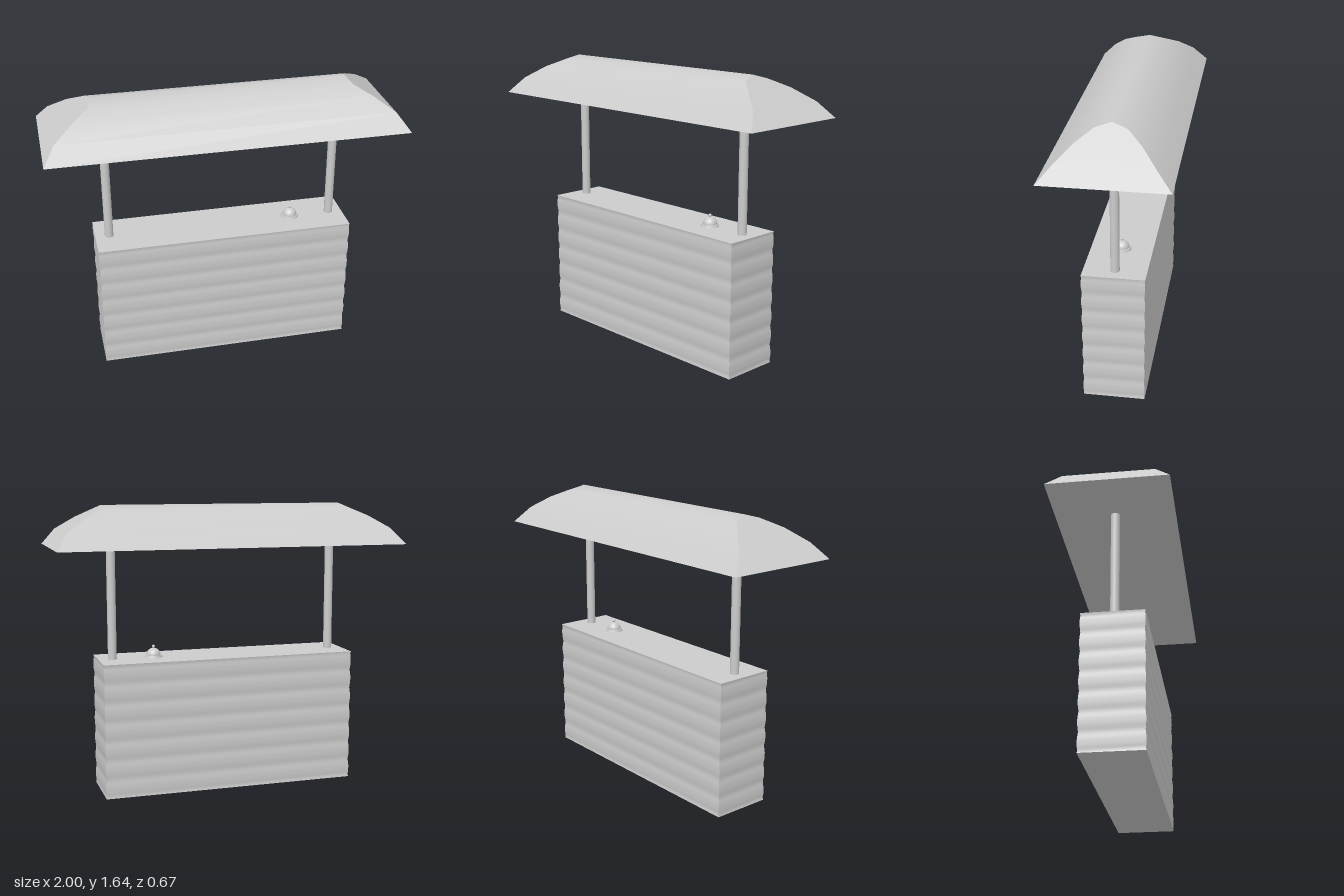
import * as THREE from 'three';

const grey = new THREE.MeshStandardMaterial({ color: 0xcccccc });

function add(group, name, geometry, x = 0, y = 0, z = 0) {
  const mesh = new THREE.Mesh(geometry, grey);
  mesh.name = name;
  mesh.position.set(x, y, z);
  group.add(mesh);
}

// Box whose sides have shallow, evenly spaced horizontal grooves
function counterGeometry(w, h, d, planks, depth) {
  const geo = new THREE.BoxGeometry(w, h, d, 1, planks * 8, 1);
  const p = geo.attributes.position;
  for (let i = 0; i < p.count; i++) {
    const t = (p.getY(i) / h + 0.5) * planks;
    const atEnd = t < 0.01 || t > planks - 0.01;
    const inset = atEnd ? 0 : depth * Math.pow(Math.abs(Math.cos(t * Math.PI)), 4);
    p.setX(i, p.getX(i) - Math.sign(p.getX(i)) * inset);
    p.setZ(i, p.getZ(i) - Math.sign(p.getZ(i)) * inset);
  }
  geo.computeVertexNormals();
  return geo;
}

function surface(points, index, normal) {
  const geo = new THREE.BufferGeometry();
  geo.setAttribute('position', new THREE.Float32BufferAttribute(points.flat(), 3));
  geo.setIndex(index);
  if (normal) {
    geo.setAttribute('normal', new THREE.Float32BufferAttribute(points.flatMap(() => normal), 3));
  } else geo.computeVertexNormals();
  return geo;
}

function addRoof(group) {
  // Half outline from eave to ridge: half-length x, height y, half-depth z
  const half = [[1, 1.41, 0.333], [0.935, 1.5, 0.25], [0.83, 1.57, 0.167], [0.735, 1.617, 0.083], [0.71, 1.64, 0]];
  const outline = [...half, ...half.slice(0, -1).reverse().map(([x, y, z]) => [x, y, -z])];
  const n = outline.length;

  // Curved cover, front eave over the ridge to the back eave
  const points = outline.flatMap(([x, y, z]) => [[-x, y, z], [x, y, z]]);
  const index = [];
  for (let i = 0; i < n - 1; i++) {
    const a = i * 2;
    index.push(a, a + 1, a + 3, a, a + 3, a + 2);
  }
  add(group, 'roofCover', surface(points, index));

  // Sloping ends: strips across the depth, closed by three triangles at the ridge
  const tri = [0, 8, 7, 0, 7, 1, 1, 7, 6, 1, 6, 2, 2, 6, 4, 2, 4, 3, 4, 6, 5];
  for (const side of [1, -1]) {
    const pts = outline.map(([x, y, z]) => [side * x, y, z]);
    const idx = side > 0 ? tri : [...tri].reverse();
    add(group, side > 0 ? 'roofEndLeft' : 'roofEndRight', surface(pts, idx, [side * 0.62, 0.785, 0]));
  }

  // Flat underside
  const under = new THREE.PlaneGeometry(2, 0.666).rotateX(Math.PI / 2);
  add(group, 'roofUnderside', under, 0, 1.41, 0);
}

// Service bell: base ring, dome and push button
function addBell(group, x, y) {
  const bell = new THREE.Group();
  bell.name = 'bell';
  bell.position.set(x, y, 0);
  add(bell, 'bellBase', new THREE.CylinderGeometry(0.048, 0.052, 0.012, 32), 0, 0.006, 0);
  const dome = new THREE.SphereGeometry(0.041, 32, 12, 0, Math.PI * 2, 0, Math.PI / 2);
  add(bell, 'bellDome', dome, 0, 0.012, 0);
  add(bell, 'bellStem', new THREE.CylinderGeometry(0.004, 0.004, 0.015, 12), 0, 0.056, 0);
  add(bell, 'bellButton', new THREE.SphereGeometry(0.009, 16, 10), 0, 0.062, 0);
  group.add(bell);
}

export function createModel() {
  const group = new THREE.Group();
  group.name = 'marketStall';
  add(group, 'counter', counterGeometry(1.48, 0.77, 0.344, 7, 0.004), 0, 0.385, 0);
  for (const side of [1, -1]) {
    const post = new THREE.CylinderGeometry(0.025, 0.025, 0.64, 24);
    add(group, side > 0 ? 'postLeft' : 'postRight', post, side * 0.66, 1.09, 0);
  }
  addBell(group, 0.42, 0.77);
  addRoof(group);
  return group;
}
